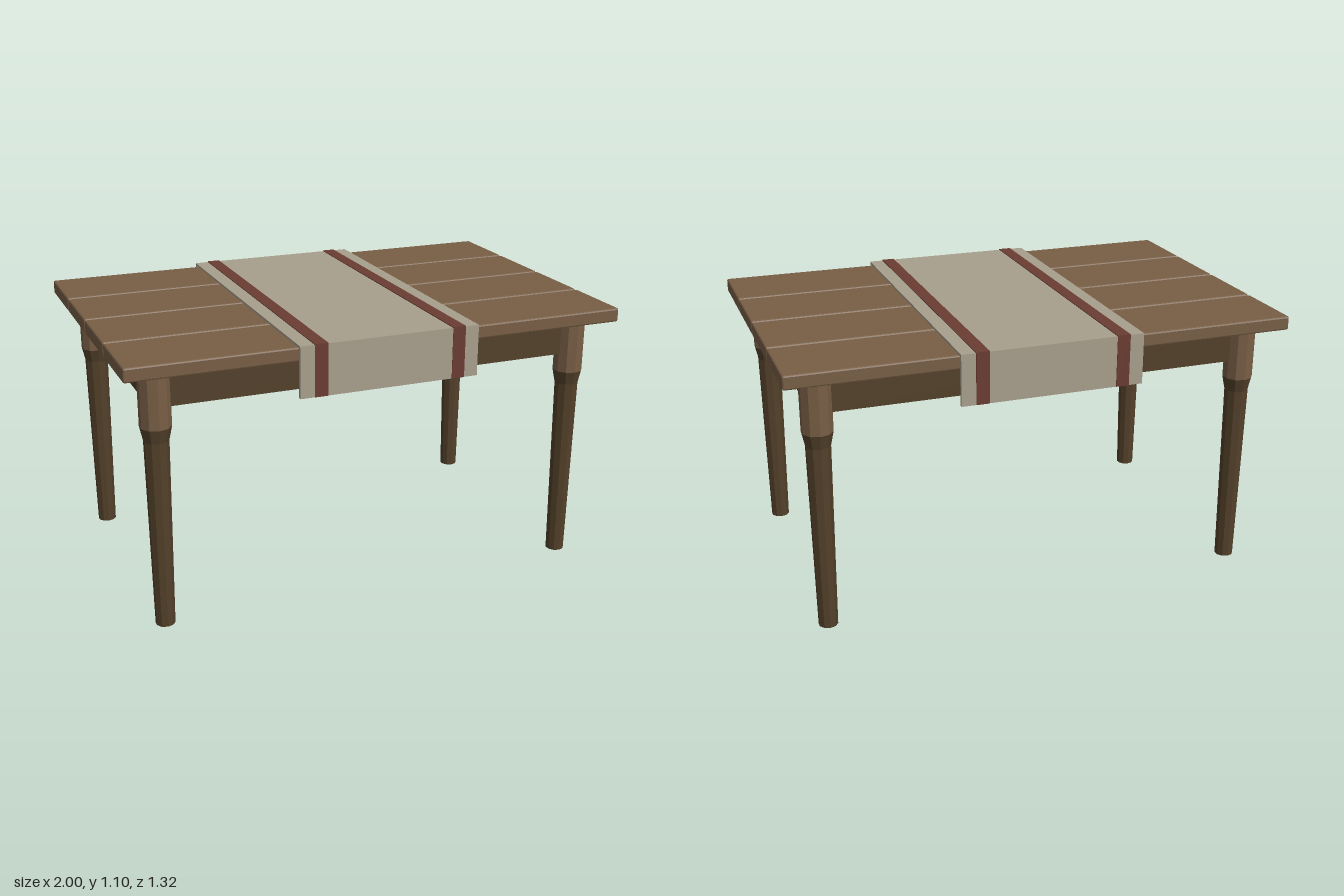
import * as THREE from 'three';
import { RoundedBoxGeometry } from 'three/addons/geometries/RoundedBoxGeometry.js';

const material = (name, color) => {
  const m = new THREE.MeshStandardMaterial({ color });
  m.name = name;
  return m;
};

export function createModel() {
  const table = new THREE.Group();
  table.name = 'table';

  const wood = material('light wood', 0x785e45);
  const darkWood = material('dark wood', 0x53402a);
  const linen = material('linen', 0xa89f8d);
  const red = material('dark red', 0x6a3c32);
  darkWood.flatShading = true;
  wood.flatShading = true;

  const add = (name, geometry, mat, x = 0, y = 0, z = 0) => {
    const mesh = new THREE.Mesh(geometry, mat);
    mesh.name = name;
    mesh.position.set(x, y, z);
    table.add(mesh);
    return mesh;
  };
  const box = (w, h, d) => new THREE.BoxGeometry(w, h, d);

  // Table top: four planks with softened edges and narrow gaps
  for (let i = 0; i < 4; i++) {
    add('plank', new RoundedBoxGeometry(2, 0.056, 0.306, 1, 0.007), wood, 0, 1.057, (i - 1.5) * 0.319);
  }

  // Legs: faceted block at the top, tapered shaft below
  const legX = 0.863, legZ = 0.502, sides = 10;
  for (const sx of [-1, 1]) {
    for (const sz of [-1, 1]) {
      const x = sx * legX, z = sz * legZ;
      add('legBlock', new THREE.CylinderGeometry(0.06, 0.06, 0.22, sides), wood, x, 0.92, z);
      add('legShoulder', new THREE.CylinderGeometry(0.06, 0.048, 0.055, sides, 1, true), darkWood, x, 0.7825, z);
      add('legShaft', new THREE.CylinderGeometry(0.048, 0.038, 0.755, sides), darkWood, x, 0.3775, z);
    }
  }

  // Apron rails between the legs
  for (const s of [-1, 1]) {
    add('longApron', box(legX * 2, 0.145, 0.043), darkWood, 0, 0.9575, s * legZ);
    add('endApron', box(0.043, 0.145, legZ * 2), darkWood, s * legX, 0.9575, 0);
  }

  // Drawer front and knob at the back
  add('drawerFront', box(0.63, 0.105, 0.025), wood, 0, 0.955, -0.534);
  const knob = add('drawerKnob', new THREE.SphereGeometry(0.029, 8, 6), darkWood, 0, 0.955, -0.549);
  knob.rotation.x = Math.PI / 2;

  // Cloth runner: thin top with a flap hanging at each side
  const outline = [
    [-0.656, 0.895], [-0.641, 0.895], [-0.641, 1.086], [0.641, 1.086],
    [0.641, 0.895], [0.656, 0.895], [0.656, 1.095], [-0.656, 1.095],
  ].map(([z, y]) => new THREE.Vector2(-z, y));
  const cloth = new THREE.ExtrudeGeometry(new THREE.Shape(outline), { depth: 0.72, bevelEnabled: false });
  cloth.translate(0, 0, -0.36);
  cloth.rotateY(Math.PI / 2);
  add('runner', cloth, linen);

  // Stripes on the runner, over the top and down both flaps
  for (const sx of [-1, 1]) {
    const x = sx * 0.278;
    add('topStripe', box(0.052, 0.004, 1.316), red, x, 1.096, 0);
    for (const sz of [-1, 1]) {
      add('flapStripe', box(0.052, 0.203, 0.004), red, x, 0.9965, sz * 0.656);
    }
  }
  return table;
}
